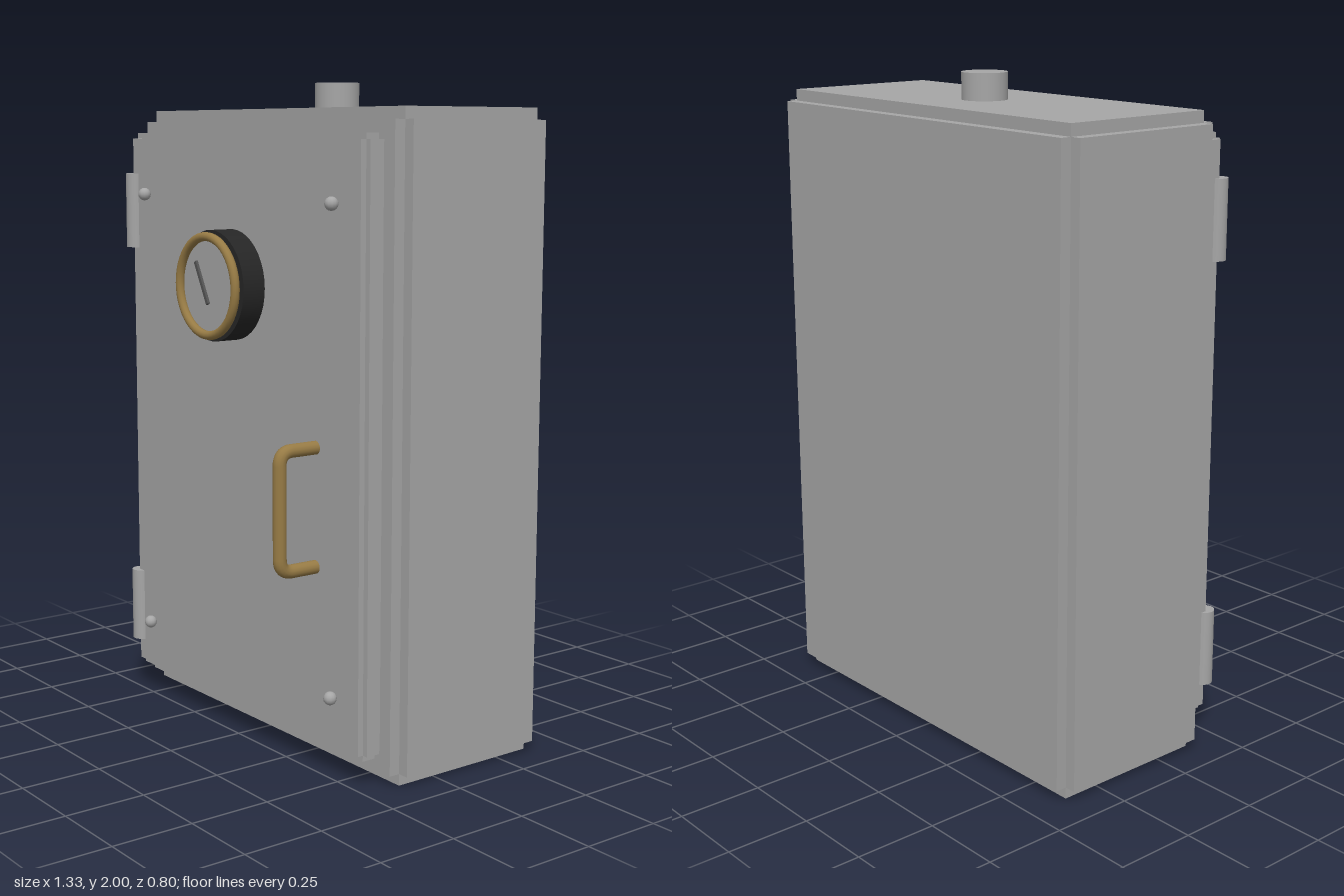
import * as THREE from 'three';

const mat = (name, color, side = THREE.FrontSide) => {
  const m = new THREE.MeshStandardMaterial({ color, side });
  m.name = name;
  return m;
};

export function createModel() {
  const steel = mat('grey steel', 0xa6a6a6);
  const black = mat('black housing', 0x262626);
  const brass = mat('brass', 0x977b45);
  const dark = mat('needle grey', 0x555555);
  const root = new THREE.Group();
  root.name = 'wallCabinet';

  const add = (parent, name, geometry, material, x = 0, y = 0, z = 0) => {
    const mesh = new THREE.Mesh(geometry, material);
    mesh.name = name;
    mesh.position.set(x, y, z);
    parent.add(mesh);
    return mesh;
  };

  // Box with square-notched edges: three boxes, each full size along one axis
  const notchedBox = (name, [w, h, d], n, y, z) => {
    const group = new THREE.Group();
    group.name = name;
    group.position.set(0, y, z);
    const c = 2 * n;
    add(group, name + 'Sides', new THREE.BoxGeometry(w, h - c, d - c), steel);
    add(group, name + 'Ends', new THREE.BoxGeometry(w - c, h, d - c), steel);
    add(group, name + 'Faces', new THREE.BoxGeometry(w - c, h - c, d), steel);
    root.add(group);
  };
  notchedBox('cabinet', [1.33, 1.92, 0.565], 0.035, 0.96, -0.12);
  notchedBox('door', [1.208, 1.768, 0.08], 0.018, 0.965, 0.204);

  // Conduit stub on the roof
  add(root, 'topConduit', new THREE.CylinderGeometry(0.068, 0.068, 0.09, 32), steel, 0, 1.955, -0.132);

  // Hinges on the door's right edge
  for (const y of [0.287, 1.602])
    add(root, 'hinge', new THREE.CylinderGeometry(0.032, 0.032, 0.237, 20), steel, -0.588, y, 0.235);

  // Door screws
  for (const x of [-0.485, 0.485])
    for (const y of [0.25, 1.657])
      add(root, 'screw', new THREE.SphereGeometry(0.02, 12, 8), steel, x, y, 0.266);

  // Gauge: housing, dial, rim and needle
  const gauge = new THREE.Group();
  gauge.name = 'gauge';
  gauge.position.set(0, 1.402, 0);
  root.add(gauge);
  const disc = (r, d) => new THREE.CylinderGeometry(r, r, d, 40).rotateX(Math.PI / 2);
  add(gauge, 'gaugeHousing', disc(0.165, 0.075), black, 0, 0, 0.299);
  add(gauge, 'gaugeDial', disc(0.142, 0.009), steel, 0, 0, 0.341);
  add(gauge, 'gaugeRim', new THREE.TorusGeometry(0.146, 0.0135, 12, 48), brass, 0, 0, 0.353);
  const needle = add(gauge, 'gaugeNeedle', new THREE.BoxGeometry(0.011, 0.138, 0.008), dark, -0.032, 0.008, 0.35);
  needle.rotation.z = 0.48;

  // Bent pull handle
  const v = (y, z) => new THREE.Vector3(0.4, y, z);
  const path = new THREE.CurvePath();
  const lo = 0.618, hi = 0.966, back = 0.254, front = 0.381, r = 0.04;
  path.add(new THREE.LineCurve3(v(lo, back), v(lo, front - r)));
  path.add(new THREE.QuadraticBezierCurve3(v(lo, front - r), v(lo, front), v(lo + r, front)));
  path.add(new THREE.LineCurve3(v(lo + r, front), v(hi - r, front)));
  path.add(new THREE.QuadraticBezierCurve3(v(hi - r, front), v(hi, front), v(hi, front - r)));
  path.add(new THREE.LineCurve3(v(hi, front - r), v(hi, back)));
  add(root, 'handle', new THREE.TubeGeometry(path, 64, 0.02, 14), brass);
  for (const y of [lo, hi])
    add(root, 'handleEnd', new THREE.CircleGeometry(0.02, 14).rotateY(Math.PI), brass, 0.4, y, back);

  return root;
}
